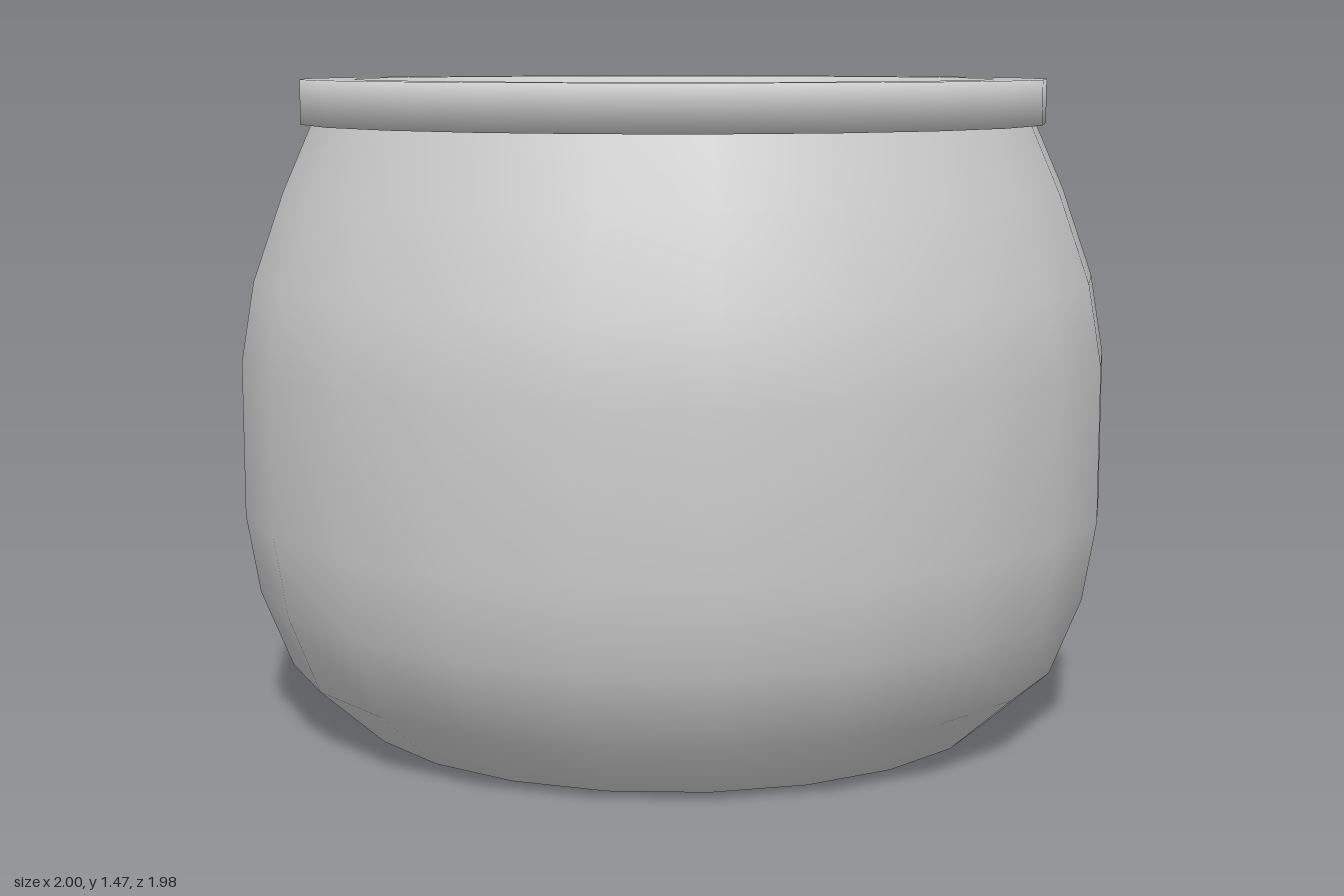
import * as THREE from 'three';

const SIDES = 22;

// Turns a list of [radius, height] pairs around the y axis, starting on +x
function turned(name, profile, material) {
  const points = profile.map(([r, y]) => new THREE.Vector2(r, y));
  const mesh = new THREE.Mesh(new THREE.LatheGeometry(points, SIDES, Math.PI / 2), material);
  mesh.name = name;
  return mesh;
}

export function createModel() {
  const group = new THREE.Group();
  group.name = 'pot';
  const clay = new THREE.MeshStandardMaterial({ color: 0xcccccc, side: THREE.DoubleSide });

  // Rounded thin wall, open at the top
  group.add(turned('body', [
    [0.75, 0], [0.9, 0.135], [0.97, 0.31], [1, 0.49],
    [1, 0.84], [0.97, 1.02], [0.9, 1.22], [0.83, 1.38],
  ], clay));

  // Flat base, seen from below and as the floor inside
  group.add(turned('base', [[0, 0], [0.75, 0]], clay));

  // Thick softly shaded collar around the mouth
  group.add(turned('rim', [
    [0.73, 1.37], [0.858, 1.37], [0.858, 1.47], [0.735, 1.47], [0.73, 1.37],
  ], clay));

  return group;
}
